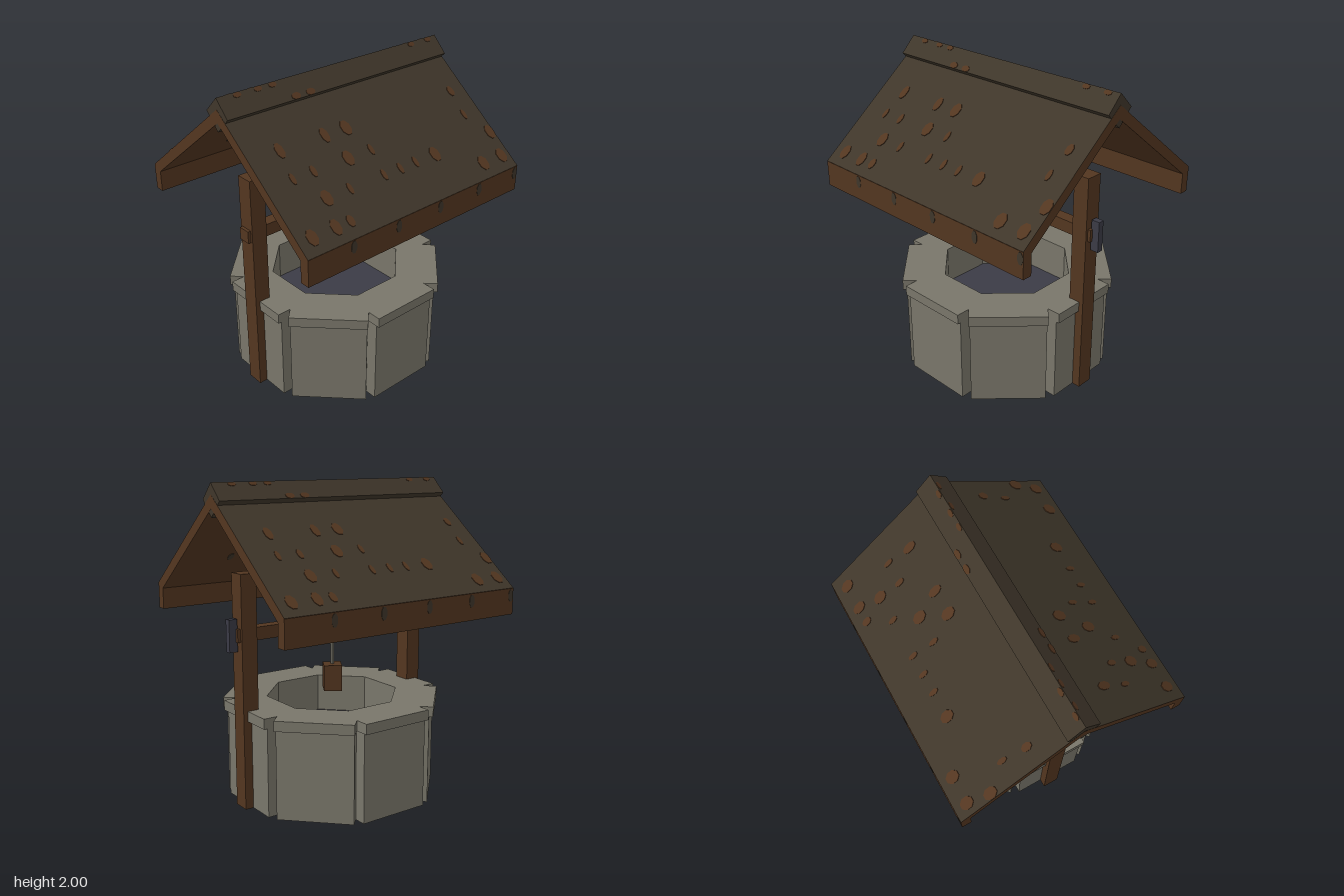
import * as THREE from 'three';

const paint = (name, color) => {
  const m = new THREE.MeshStandardMaterial({ color });
  m.name = name;
  return m;
};

export function createModel() {
  const stone = paint('stone', 0x79766a);
  const wood = paint('wood', 0x533620);
  const shingle = paint('dark shingle', 0x3f362a);
  const metal = paint('dark metal', 0x3b3b46);

  const model = new THREE.Group();
  model.name = 'well';

  const add = (parent, name, geometry, material, x = 0, y = 0, z = 0) => {
    const mesh = new THREE.Mesh(geometry, material);
    mesh.name = name;
    mesh.position.set(x, y, z);
    parent.add(mesh);
    return mesh;
  };
  const box = (w, h, d) => new THREE.BoxGeometry(w, h, d);

  // Octagonal ring of eight blocks with a V notch at each corner
  const ring = (apothem, half, inner, height) => {
    const notch = half / Math.tan(Math.PI / 8);
    const outline = [], hole = [];
    for (let k = 0; k < 8; k++) {
      const a = -k * Math.PI / 4, c = Math.cos(a), s = Math.sin(a);
      for (const [x, y] of [[-half, apothem], [half, apothem], [half, notch]]) {
        outline.push(new THREE.Vector2(x * c - y * s, x * s + y * c));
      }
      const r = inner / Math.cos(Math.PI / 8), b = (k + 0.5) * Math.PI / 4;
      hole.push(new THREE.Vector2(r * Math.cos(b), r * Math.sin(b)));
    }
    const shape = new THREE.Shape(outline);
    shape.holes.push(new THREE.Path(hole));
    return new THREE.ExtrudeGeometry(shape, { depth: height, bevelEnabled: false })
      .rotateX(-Math.PI / 2);
  };
  add(model, 'wall', ring(0.645, 0.235, 0.4, 0.565), stone);
  add(model, 'wallCap', ring(0.67, 0.24, 0.4, 0.065), stone, 0, 0.565, 0);
  const water = new THREE.CylinderGeometry(0.43, 0.43, 0.02, 8);
  add(model, 'water', water.rotateY(Math.PI / 8), metal, 0, 0.37, 0);

  // Posts, axle and crank
  for (const side of [-1, 1]) add(model, 'post', box(0.105, 1.47, 0.11), wood, side * 0.6475, 0.735, 0);
  add(model, 'axle', box(1.44, 0.08, 0.08), wood, 0, 1.1, 0);
  add(model, 'crank', box(0.055, 0.2, 0.04), metal, 0.7375, 1.1, 0);

  // Rope and bucket, turned a little on its rope
  add(model, 'rope', box(0.015, 0.26, 0.015), stone, 0, 0.94, 0);
  const bucketMaterials = [wood, wood, wood, wood, wood, shingle];
  bucketMaterials[1] = shingle;
  bucketMaterials[5] = wood;
  const bucket = add(model, 'bucket', box(0.117, 0.17, 0.117), bucketMaterials, 0, 0.735, 0);
  bucket.rotation.y = THREE.MathUtils.degToRad(59);

  // Thin rounded patch lying on a surface
  const patch = (w, l) => new THREE.CylinderGeometry(0.54, 0.54, 0.006, 8)
    .rotateY(Math.PI / 8).scale(w, 1, l);

  const slope = Math.atan(0.787);
  const ridgeY = 1.933;
  const length = 0.757 / Math.cos(slope);

  // Rows of patches: height, then pairs of x and width
  const rows = [
    [1.72, -0.64, 0.05, -0.32, 0.05, -0.16, 0.065, 0.73, 0.045],
    [1.61, -0.665, 0.03, -0.52, 0.035, -0.265, 0.065, -0.09, 0.03, 0.71, 0.03],
    [1.505, -0.54, 0.065, -0.37, 0.03, -0.11, 0.03, 0.02, 0.03, 0.145, 0.03, 0.31, 0.065, 0.815, 0.065],
    [1.4, -0.755, 0.065, -0.59, 0.06, -0.485, 0.045, 0.61, 0.07, 0.78, 0.07],
  ];

  const roofHalf = () => {
    const half = new THREE.Group();
    half.name = 'roofHalf';

    // Sloping panel, dark on top
    const panel = new THREE.Group();
    panel.name = 'roofPanel';
    panel.position.y = ridgeY;
    panel.rotation.x = slope;
    half.add(panel);
    add(panel, 'roofSlab', box(1.7, 0.063, length),
      [wood, wood, shingle, wood, wood, wood], 0, -0.0315, length / 2);
    for (const [y, ...spots] of rows) {
      const z = (ridgeY - y) / Math.sin(slope);
      for (let i = 0; i < spots.length; i += 2) {
        const w = spots[i + 1];
        add(panel, 'roofPatch', patch(w, w > 0.045 ? 0.095 : 0.07), wood, spots[i], 0.001, z);
      }
    }

    // Eaves board with dark patches on its face
    add(half, 'eavesBoard', box(1.7, 0.165, 0.062), wood, 0, 1.2525, 0.726);
    for (let i = 0; i < 5; i++) {
      const x = -0.53 + i * 0.34;
      add(half, 'eavesPatch', patch(0.04, 0.075).rotateX(Math.PI / 2), shingle,
        Math.min(x, 0.828), 1.29, 0.756);
      if (i < 4) add(panel, 'undersidePatch', patch(0.04, 0.07), shingle, x, -0.064, 0.35 + (i % 2) * 0.25);
    }

    // Patches on the ridge beam
    const ridgeFace = new THREE.Group();
    ridgeFace.name = 'ridgeFace';
    ridgeFace.position.y = 2;
    ridgeFace.rotation.x = Math.PI / 4;
    half.add(ridgeFace);
    for (const x of [-0.37, -0.265]) add(ridgeFace, 'ridgePatch', patch(0.06, 0.04), wood, x, 0, 0.121);
    for (const x of [-0.72, -0.58, -0.48, 0.62, 0.77]) {
      add(ridgeFace, 'ridgePatch', patch(0.05, 0.03), wood, x, 0, 0.018);
    }
    return half;
  };

  const front = roofHalf();
  const back = roofHalf();
  back.rotation.y = Math.PI;
  model.add(front, back);

  // Square ridge beam set on its corner
  const ridge = add(model, 'ridgeBeam', box(1.698, 0.1414, 0.1414), shingle, 0, 1.9, 0);
  ridge.rotation.x = Math.PI / 4;

  return model;
}
